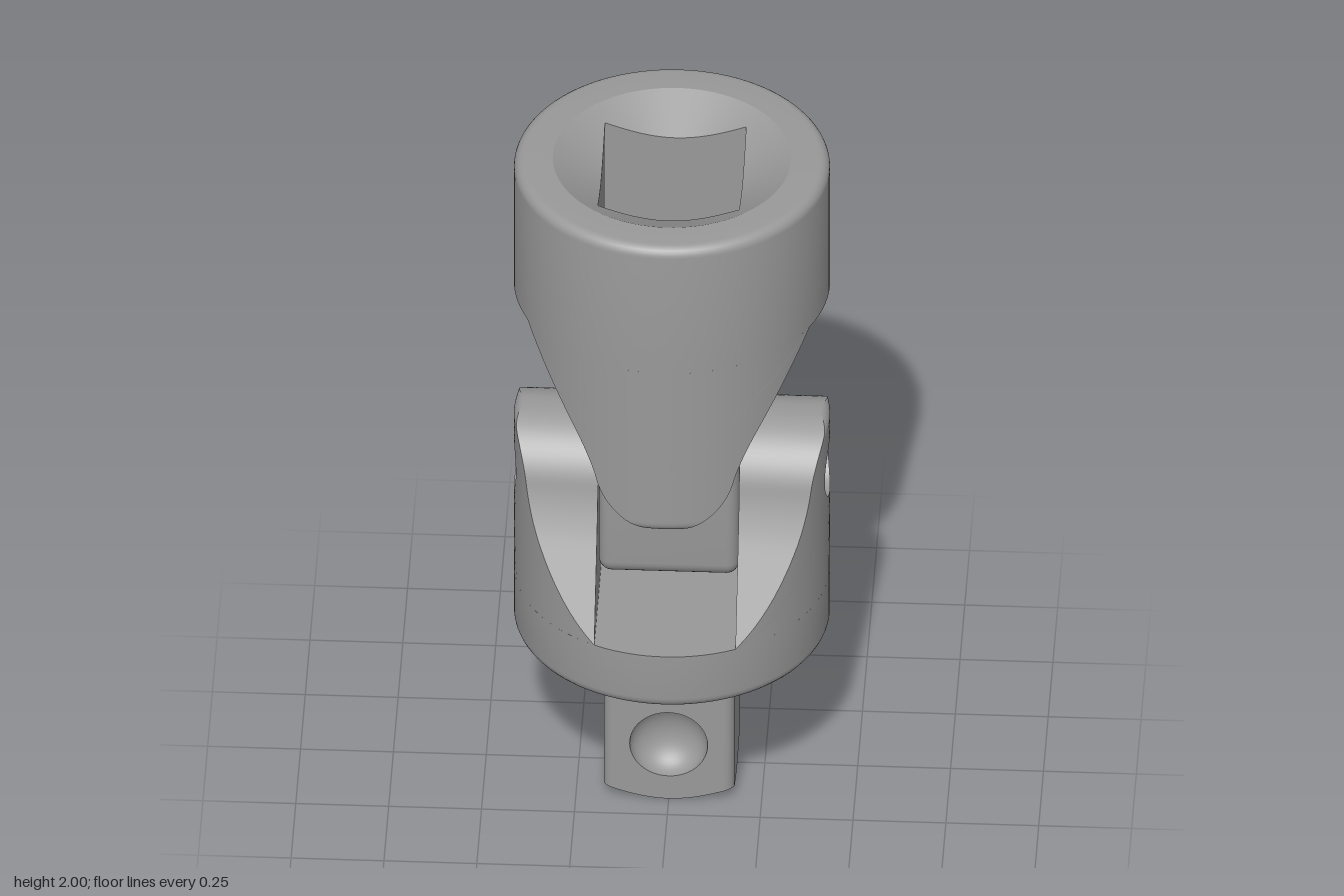
import * as THREE from 'three';
import { toCreasedNormals } from 'three/addons/utils/BufferGeometryUtils.js';

const R = 0.425;     // outer radius of both yokes
const H = 0.19;      // half width of slots and square bore
const PIN = 0.088;   // pin hole radius
const SEG = 96;
const QUARTER = Math.PI / 2;
const metal = new THREE.MeshStandardMaterial({ color: 0x999999 });
const open = new THREE.MeshStandardMaterial({ color: 0x999999, side: THREE.DoubleSide });

const range = (a, b, n) => Array.from({ length: n + 1 }, (_, i) => a + (b - a) * i / n);

// Smooth normals with sharp edges; enlarged meanwhile so that close points stay apart
const creased = g => toCreasedNormals(g.scale(100, 100, 100), 0.45).scale(0.01, 0.01, 0.01);

// Surface through rows of points; the front faces (along rows) x (along points)
function sheet(rows) {
  const n = rows[0].length, index = [];
  for (let i = 0; i < rows.length - 1; i++) {
    for (let j = 0; j < n - 1; j++) {
      const a = i * n + j, b = a + n;
      index.push(a, b, b + 1, a, b + 1, a + 1);
    }
  }
  const g = new THREE.BufferGeometry();
  g.setAttribute('position', new THREE.Float32BufferAttribute(rows.flat(2), 3));
  g.setIndex(index);
  return creased(g);
}

// Turns a section of [radius, y] pairs to an angle around the y axis
const turn = (section, t) => section.map(([r, y]) => [r * Math.sin(t), y, r * Math.cos(t)]);

// Distance from the centre to the edge of a square, with corner radius c
function squareRadius(half, c, t) {
  const u = Math.abs(t - Math.round(t / QUARTER) * QUARTER);
  if (u <= Math.atan((half - c) / half)) return half / Math.cos(u);
  const d = (half - c) * Math.SQRT2, v = Math.PI / 4 - u;
  return d * Math.cos(v) + Math.sqrt(c * c - (d * Math.sin(v)) ** 2);
}

function add(parent, name, geometry, material = metal) {
  const mesh = new THREE.Mesh(geometry, material);
  mesh.name = name;
  parent.add(mesh);
  return mesh;
}

// Yoke arm pointing up and lying on the +z side, with an optional pin hole
function armGeometry(hole) {
  const cy = 1.0, top = 1.18, fillet = 0.03;
  const path = new THREE.Path();
  path.moveTo(0.24, 0.9).quadraticCurveTo(0.198, 0.98, 0.1835, 1.039);
  const side = [
    ...range(0, 1.106, 14).map(p => [R * Math.sin(p), 0.65]),
    ...range(0, 1, 10).slice(1, -1).map(t => [0.38 - 0.14 * t, 0.65 + 0.25 * t]),
    ...path.getPoints(8).map(p => [p.x, p.y]),
    ...range(Math.PI / 12, QUARTER, 16).slice(1).map(a => [H * Math.cos(a), 0.99 + H * Math.sin(a)]),
  ];
  const outline = [...side, ...side.slice(0, -1).reverse().map(([x, y]) => [-x, y])];
  // Outer face follows the cylinder, rounded over at the tip
  const outerZ = (x, y) => {
    const d = Math.min(1, Math.max(0, (y - top + fillet) / fillet));
    const r = R - fillet + fillet * Math.sqrt(1 - d * d);
    return Math.sqrt(Math.max(H * H, r * r - x * x));
  };
  return sheet(outline.map(([x, y]) => {
    const len = Math.hypot(x, y - cy);
    const hx = x / len * hole, hy = cy + (y - cy) / len * hole;
    const face = range(0, 1, 18).map(s => {
      const t = s * s, px = x + (hx - x) * t, py = y + (hy - y) * t;
      return [px, py, outerZ(px, py)];
    });
    return [[hx, hy, H], [x, y, H], ...face, [hx, hy, H]];
  }));
}

// Socket collar: round outside, conical lead-in and square through bore
function collarGeometry() {
  const rim = range(0, QUARTER, 6).map(a => [R - 0.03 + 0.03 * Math.cos(a), 1.97 + 0.03 * Math.sin(a)]);
  return sheet(range(0, Math.PI * 2, SEG).map(t => {
    const q = squareRadius(H, 0, t);
    return turn([[q, 1.59], [R, 1.59], ...rim, [0.32, 2], [q, 2 - (0.32 - q) * 0.55], [q, 1.59]], t);
  }));
}

// Square drive with rounded corners, coned tip and a round dimple in front
function addDrive(parent) {
  const half = 0.176, c = 0.03, y1 = 0.42;
  const a = Math.atan((half - c) / half);
  const section = t => {
    const q = squareRadius(half, c, t);
    return [[0, 0], [half, 0], [q, (q - half) * 0.55]];
  };
  const angles = [a];
  for (let k = 0; k < 4; k++) {
    angles.push(...range(k * QUARTER + a, (k + 1) * QUARTER - a, 8).slice(1));
    if (k < 3) angles.push(...range((k + 1) * QUARTER - a, (k + 1) * QUARTER + a, 16).slice(1));
  }
  add(parent, 'driveSquare', sheet(angles.map(t => {
    const s = section(t);
    return turn([...s, [s[2][0], y1]], t);
  })));

  const front = range(-a, a, 16);
  add(parent, 'driveTipFront', sheet(front.map(t => turn(section(t), t))));
  const w = half - c;
  const face = new THREE.Shape([
    ...front.map(t => {
      const [r, y] = section(t)[2];
      return new THREE.Vector2(r * Math.sin(t), y);
    }),
    new THREE.Vector2(w, y1), new THREE.Vector2(-w, y1),
  ]);
  face.holes.push(new THREE.Path().absarc(0, 0.18, 0.105, 0, Math.PI * 2, true));
  add(parent, 'driveFrontFace', new THREE.ShapeGeometry(face, 24)).position.z = half;

  const bowl = range(0, QUARTER, 12).map(p => new THREE.Vector2(0.105 * Math.sin(p), -0.075 * Math.cos(p)));
  const dimple = add(parent, 'detentDimple', new THREE.LatheGeometry(bowl, 48), open);
  dimple.rotation.x = QUARTER;
  dimple.position.set(0, 0.18, half);
}

// Centre block with rounded edges and a cross hole along x
function blockGeometry() {
  const b = 0.035, r = 0.015, w = H - 0.001 - b, y0 = 0.74 + b, y1 = 1.475 - b;
  const arc = (x, y, radius, from, to, n) =>
    range(from, to, n).map(t => new THREE.Vector2(x + radius * Math.cos(t), y + radius * Math.sin(t)));
  const corners = [[w - r, y1 - r], [-w + r, y1 - r], [-w + r, y0 + r], [w - r, y0 + r]];
  const shape = new THREE.Shape(corners.flatMap(([x, y], k) => arc(x, y, r, k * QUARTER, (k + 1) * QUARTER, 6)));
  shape.holes.push(new THREE.Path(arc(0, 1, PIN + b, 0, -Math.PI * 2, 48).slice(0, -1)));
  const g = new THREE.ExtrudeGeometry(shape, {
    depth: 2 * w, bevelSize: b, bevelThickness: b, bevelSegments: 6,
  });
  return creased(g.translate(0, 0, -w).rotateY(QUARTER));
}

export function createModel() {
  const model = new THREE.Group();
  model.name = 'universalJoint';

  // Upper yoke with socket, arms hanging at front and back
  const upper = new THREE.Group();
  upper.name = 'socketYoke';
  add(upper, 'socketCollar', collarGeometry());
  const plainArm = armGeometry(0).rotateZ(Math.PI).translate(0, 2.24, 0);
  [0, Math.PI].forEach(t => { add(upper, 'socketArm', plainArm).rotation.y = t; });

  // Lower yoke with stepped base, drilled arms at left and right
  const lower = new THREE.Group();
  lower.name = 'driveYoke';
  const profile = [
    [0, 0.415], [0.24, 0.415], [0.25, 0.422], [0.264, 0.445], [0.276, 0.461], [0.292, 0.471], [0.315, 0.475],
    ...range(-QUARTER, 0, 6).map(a => [R - 0.035 + 0.035 * Math.cos(a), 0.51 + 0.035 * Math.sin(a)]),
    [R, 0.65], [0, 0.65],
  ].map(p => new THREE.Vector2(...p));
  add(lower, 'yokeBase', creased(new THREE.LatheGeometry(profile, SEG)));
  const drilledArm = armGeometry(PIN);
  [1, -1].forEach(s => { add(lower, 'drilledArm', drilledArm).rotation.y = s * QUARTER; });
  addDrive(lower);

  model.add(upper, lower);
  add(model, 'centreBlock', blockGeometry());
  return model;
}
